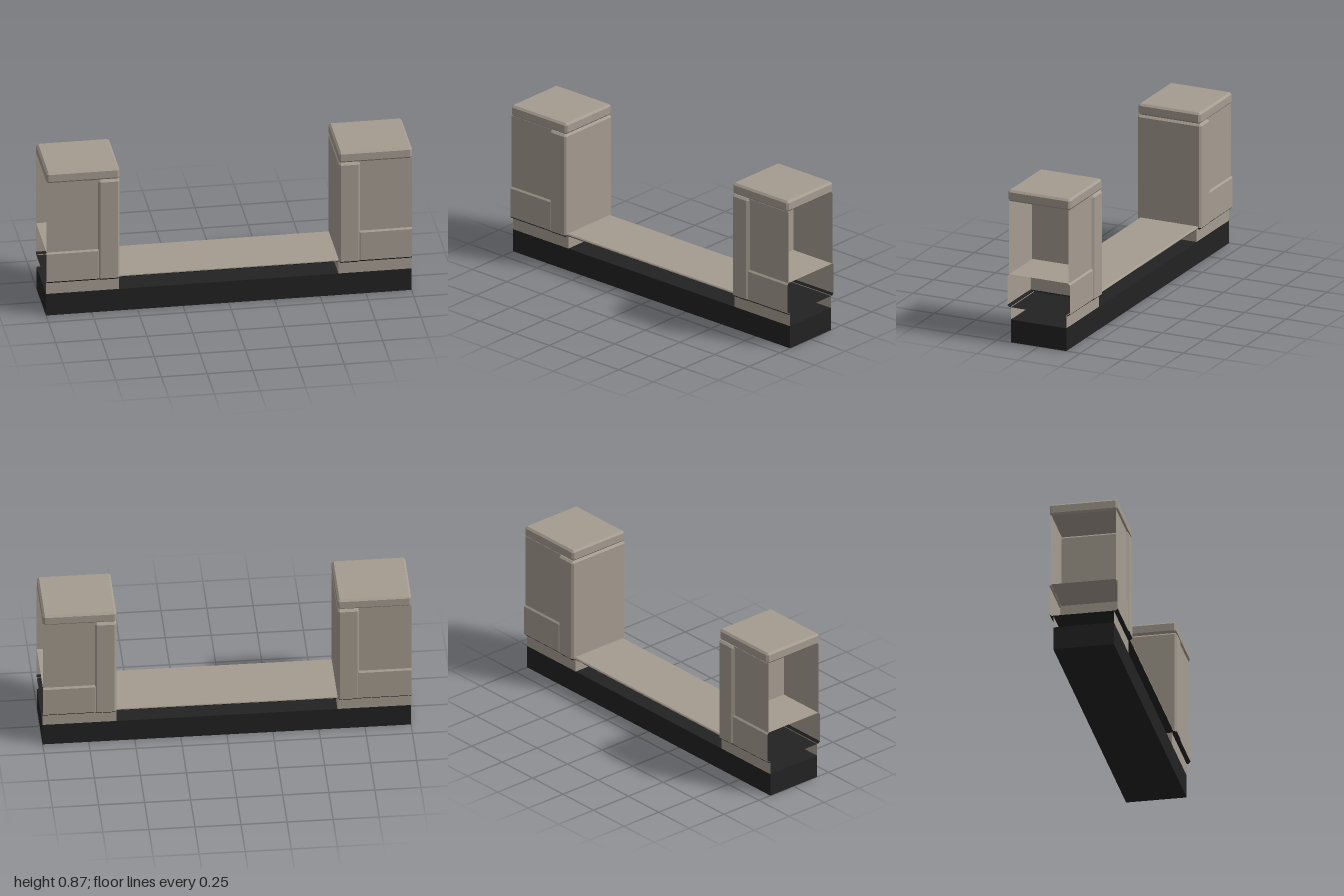
import * as THREE from 'three';

const stone = new THREE.MeshStandardMaterial({ color: 0xa59c90, side: THREE.DoubleSide });
stone.name = 'warm grey stone';
const dark = new THREE.MeshStandardMaterial({ color: 0x222222, side: THREE.DoubleSide });
dark.name = 'near black';

// Chamfered block lofted along x; the outer end (x1) may stay open.
// Faces that look down form group 1, all others group 0.
function chamferedBlock(x0, x1, y0, y1, halfZ, c, open) {
  const yc = (y0 + y1) / 2, hy = (y1 - y0) / 2;
  const section = (x, cut, inset) => {
    const ring = [];
    for (const [sy, sz] of [[1, 1], [-1, 1], [-1, -1], [1, -1]]) {
      const a = new THREE.Vector3(x, yc + sy * (hy - inset), sz * (halfZ - cut));
      const b = new THREE.Vector3(x, yc + sy * (hy - cut), sz * (halfZ - inset));
      ring.push(...(sy * sz > 0 ? [a, b] : [b, a]));
    }
    return ring;
  };
  const rings = [section(x0, c, c), section(x0 + c, c, 0)];
  if (open) rings.push(section(x1, c, 0));
  else rings.push(section(x1 - c, c, 0), section(x1, c, c));

  const sides = [[], []];
  const tri = (p, q, r) => {
    const n = q.clone().sub(p).cross(r.clone().sub(p));
    if (n.length() < 1e-9) return;
    n.normalize();
    sides[n.y < -0.3 ? 1 : 0].push(p, q, r);
  };
  for (let i = 0; i < rings.length - 1; i++) {
    for (let k = 0; k < 8; k++) {
      const m = (k + 1) % 8;
      const a = rings[i][k], b = rings[i][m], d = rings[i + 1][k], e = rings[i + 1][m];
      tri(a, d, e);
      tri(a, e, b);
    }
  }
  const first = rings[0], last = rings[rings.length - 1];
  for (let k = 1; k < 7; k++) {
    tri(first[0], first[k], first[k + 1]);
    if (!open) tri(last[0], last[k + 1], last[k]);
  }
  // keep every triangle facing outward
  const centre = new THREE.Vector3((x0 + x1) / 2, yc, 0);
  for (const list of sides) {
    for (let i = 0; i < list.length; i += 3) {
      const [p, q, r] = list.slice(i, i + 3);
      const n = q.clone().sub(p).cross(r.clone().sub(p));
      if (n.dot(p.clone().sub(centre)) < 0) { list[i + 1] = r; list[i + 2] = q; }
    }
  }
  // refile by the corrected normals
  const up = [], down = [];
  for (const list of sides) {
    for (let i = 0; i < list.length; i += 3) {
      const [p, q, r] = list.slice(i, i + 3);
      const n = q.clone().sub(p).cross(r.clone().sub(p)).normalize();
      (n.y < -0.3 ? down : up).push(p, q, r);
    }
  }
  const g = new THREE.BufferGeometry().setFromPoints([...up, ...down]);
  g.addGroup(0, up.length, 0);
  g.addGroup(up.length, down.length, 1);
  g.computeVertexNormals();
  return g;
}

function add(parent, name, geometry, material) {
  const mesh = new THREE.Mesh(geometry, material);
  mesh.name = name;
  parent.add(mesh);
  return mesh;
}

// One raised end of the wall, hollow towards its outer end
function createMerlon() {
  const merlon = new THREE.Group();
  const darkBelow = [stone, dark];

  add(merlon, 'pilaster', chamferedBlock(0.6, 0.717, 0.2, 0.802, 0.192, 0.011, false), darkBelow);
  add(merlon, 'lowerCourse', chamferedBlock(0.705, 1, 0.2, 0.388, 0.188, 0.011, true), darkBelow);
  add(merlon, 'capStone', chamferedBlock(0.6, 1, 0.803, 0.867, 0.187, 0.011, false), [stone, stone]);

  // recessed upper panels and the footing walls, front and back
  for (const s of [1, -1]) {
    const turn = s > 0 ? 0 : Math.PI;
    const panel = add(merlon, 'recessedPanel', new THREE.PlaneGeometry(0.29, 0.419), stone);
    panel.position.set(0.855, 0.5935, s * 0.179);
    panel.rotation.y = turn;
    const wall = add(merlon, 'footingWall', new THREE.PlaneGeometry(0.4, 0.075), stone);
    wall.position.set(0.8, 0.1675, s * 0.167);
    wall.rotation.y = turn;
  }
  const inner = add(merlon, 'footingInnerWall', new THREE.PlaneGeometry(0.334, 0.075), stone);
  inner.position.set(0.6, 0.1675, 0);
  inner.rotation.y = -Math.PI / 2;
  return merlon;
}

export function createModel() {
  const model = new THREE.Group();
  model.name = 'wallSection';

  // dark foundation
  add(model, 'foundation', new THREE.BoxGeometry(2, 0.13, 0.334), dark).position.y = 0.065;

  // thin walkway slab between the two ends
  add(model, 'walkwaySlab', chamferedBlock(-0.605, 0.605, 0.204, 0.219, 0.175, 0.005, false), [stone, dark]);

  for (const [name, turn] of [['leftMerlon', 0], ['rightMerlon', Math.PI]]) {
    const merlon = createMerlon();
    merlon.name = name;
    merlon.rotation.y = turn;
    model.add(merlon);
  }
  return model;
}
